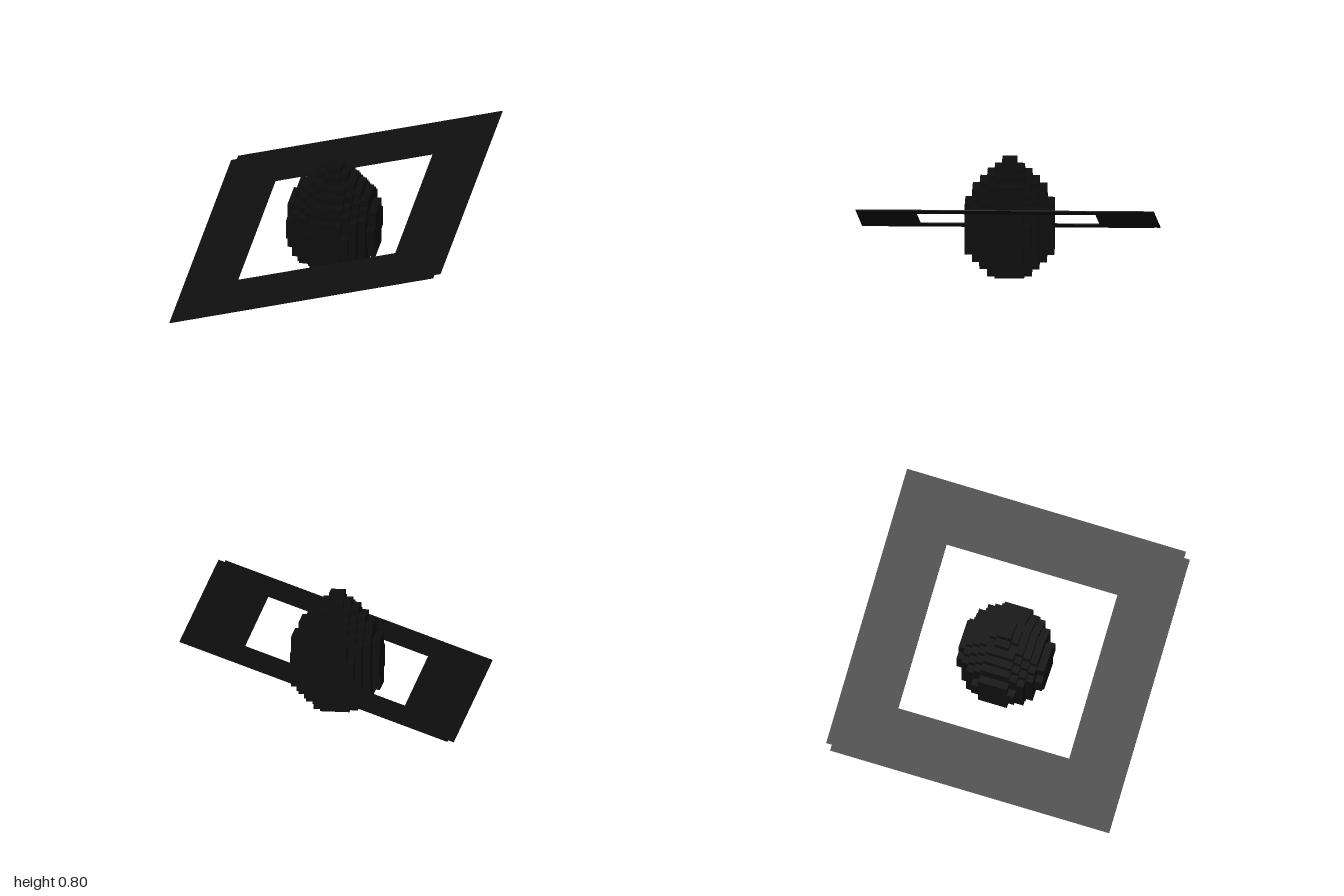
import * as THREE from 'three';
import { mergeGeometries } from 'three/addons/utils/BufferGeometryUtils.js';

const CELL = 0.05;
// Egg radius in cells, layer by layer from the ground up
const RADII = [3.1, 4.1, 5.1, 5.75, 5.9, 6.1, 6.1, 6.1, 5.9, 5.75, 5.2, 4.8, 4.2, 3.2, 2.1, 1.1];

const filled = (i, j, k) =>
  j >= 0 && j < RADII.length && Math.hypot(i + 0.5, k + 0.5) < RADII[j];

// Only the exposed faces of the stepped egg
function eggGeometry() {
  const directions = [[1, 0, 0], [-1, 0, 0], [0, 1, 0], [0, -1, 0], [0, 0, 1], [0, 0, -1]];
  const forward = new THREE.Vector3(0, 0, 1);
  const faces = [];
  for (let j = 0; j < RADII.length; j++)
    for (let i = -7; i < 7; i++)
      for (let k = -7; k < 7; k++) {
        if (!filled(i, j, k)) continue;
        for (const [dx, dy, dz] of directions) {
          if (filled(i + dx, j + dy, k + dz)) continue;
          const face = new THREE.PlaneGeometry(CELL, CELL);
          const normal = new THREE.Vector3(dx, dy, dz);
          face.applyQuaternion(new THREE.Quaternion().setFromUnitVectors(forward, normal));
          face.translate(
            (i + 0.5 + dx / 2) * CELL,
            (j + 0.5 + dy / 2) * CELL,
            (k + 0.5 + dz / 2) * CELL
          );
          faces.push(face);
        }
      }
  return mergeGeometries(faces);
}

// Flat square ring with two small notched corners, lying in the xz plane
function ringGeometry() {
  const thickness = 0.006;
  const outline = [
    [-0.98, -1], [0.932, -1], [0.932, -0.96], [0.976, -0.96],
    [0.98, 1], [-0.937, 1], [-0.937, 0.96], [-0.978, 0.96],
  ];
  const opening = [[-0.576, -0.6], [-0.576, 0.6], [0.567, 0.6], [0.567, -0.6]];
  const toPoints = (list) => list.map(([x, y]) => new THREE.Vector2(x, y));
  const shape = new THREE.Shape(toPoints(outline));
  shape.holes.push(new THREE.Path(toPoints(opening)));
  const geometry = new THREE.ExtrudeGeometry(shape, { depth: thickness, bevelEnabled: false });
  geometry.translate(0, 0, -thickness / 2);
  geometry.rotateX(-Math.PI / 2);
  return geometry;
}

export function createModel() {
  const model = new THREE.Group();
  model.name = 'ringedEgg';
  const black = new THREE.MeshStandardMaterial({ color: 0x0e0e0e });
  black.name = 'black';

  // Stepped egg, slightly off the ring's centre
  const egg = new THREE.Mesh(eggGeometry(), black);
  egg.name = 'egg';
  egg.position.set(-0.012, 0, -0.012);

  // Tilted ring around the egg
  const ring = new THREE.Mesh(ringGeometry(), black);
  ring.name = 'ring';
  ring.position.y = 0.377;
  ring.rotation.z = 0.334;

  model.add(egg, ring);
  return model;
}
